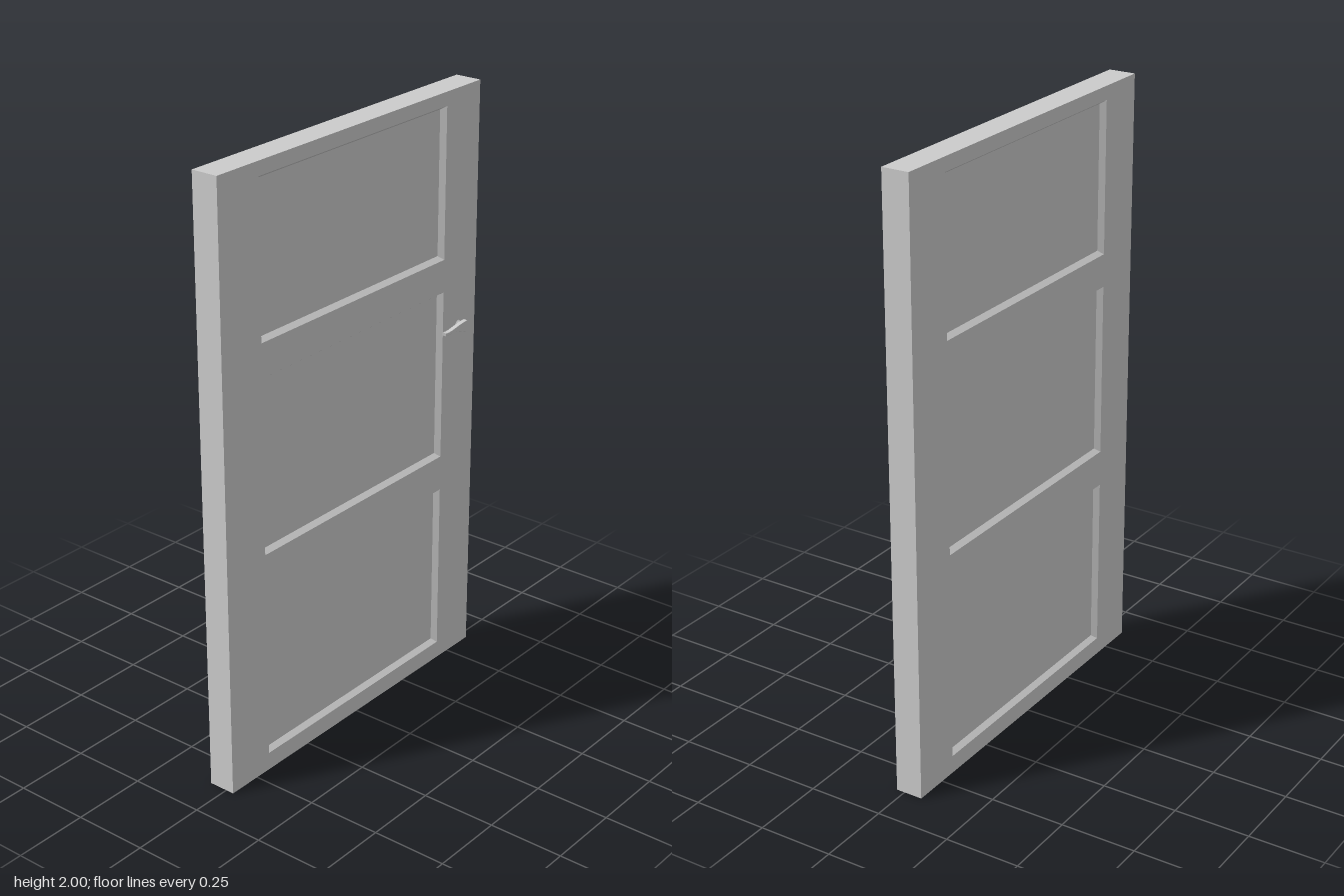
import * as THREE from 'three';

const HALF_W = 0.614, HEIGHT = 2, FRONT = 0.028, BACK = -0.063;
const PANEL_X = 0.442, BEVEL = 0.012, DEPTH = 0.018;
const PANELS = [[0.06, 0.643], [0.764, 1.343], [1.453, 1.955]]; // bottom and top of each recess

const material = new THREE.MeshStandardMaterial({ color: 0xcccccc });

function add(parent, name, geometry) {
  const mesh = new THREE.Mesh(geometry, material);
  mesh.name = name;
  parent.add(mesh);
  return mesh;
}

const corners = (hw, y0, y1) => [[-hw, y0], [hw, y0], [hw, y1], [-hw, y1]];

// Four flat walls between rectangle a at depth za and rectangle b at depth zb
function walls(a, za, b, zb) {
  const pos = [];
  for (let i = 0; i < 4; i++) {
    const j = (i + 1) % 4;
    const p = [...a[i], za], q = [...a[j], za], r = [...b[j], zb], s = [...b[i], zb];
    pos.push(...p, ...q, ...r, ...p, ...r, ...s);
  }
  const g = new THREE.BufferGeometry();
  g.setAttribute('position', new THREE.Float32BufferAttribute(pos, 3));
  g.computeVertexNormals();
  return g;
}

// One face of the door: a sheet with three bevelled, sunken panels
function doorFace(z) {
  const face = new THREE.Group();
  const toPoints = (list) => list.map(([x, y]) => new THREE.Vector2(x, y));
  const sheet = new THREE.Shape(toPoints(corners(HALF_W, 0, HEIGHT)));
  for (const [y0, y1] of PANELS) {
    const outer = corners(PANEL_X, y0, y1);
    const inner = corners(PANEL_X - BEVEL, y0 + BEVEL, y1 - BEVEL);
    sheet.holes.push(new THREE.Path(toPoints(outer)));
    add(face, 'panelBevel', walls(outer, z, inner, z - DEPTH));
    add(face, 'panel', new THREE.ShapeGeometry(new THREE.Shape(toPoints(inner))))
      .position.z = z - DEPTH;
  }
  add(face, 'frame', new THREE.ShapeGeometry(sheet)).position.z = z;
  return face;
}

function createHandle() {
  const handle = new THREE.Group();
  handle.name = 'handle';

  // Flat curved lever, widening towards the pivot
  const lever = new THREE.Shape();
  lever.moveTo(0.418, 1.217);
  lever.bezierCurveTo(0.45, 1.211, 0.48, 1.225, 0.533, 1.227);
  lever.quadraticCurveTo(0.543, 1.222, 0.541, 1.207);
  lever.quadraticCurveTo(0.538, 1.189, 0.526, 1.188);
  lever.bezierCurveTo(0.505, 1.193, 0.495, 1.209, 0.42, 1.206);
  add(handle, 'lever', new THREE.ExtrudeGeometry(lever, {
    depth: 0.011, bevelThickness: 0.002, bevelSize: 0.001, bevelOffset: -0.001,
    bevelSegments: 2, curveSegments: 10,
  })).position.z = 0.045;

  // Round base plate and stem turned about z
  const profile = [[0, 0], [0.015, 0], [0.015, 0.003], [0.009, 0.006], [0.009, 0.018]]
    .map(([r, h]) => new THREE.Vector2(r, h));
  const stem = add(handle, 'stem', new THREE.LatheGeometry(profile, 24));
  stem.rotation.x = Math.PI / 2;
  stem.position.set(0.524, 1.208, FRONT);
  return handle;
}

export function createModel() {
  const model = new THREE.Group();
  model.name = 'door';

  const front = doorFace(FRONT);
  front.name = 'doorFront';
  const back = doorFace(-BACK);
  back.name = 'doorBack';
  back.rotation.y = Math.PI;

  const outline = corners(HALF_W, 0, HEIGHT);
  add(model, 'doorEdges', walls(outline, BACK, outline, FRONT));
  model.add(front, back, createHandle());
  return model;
}
